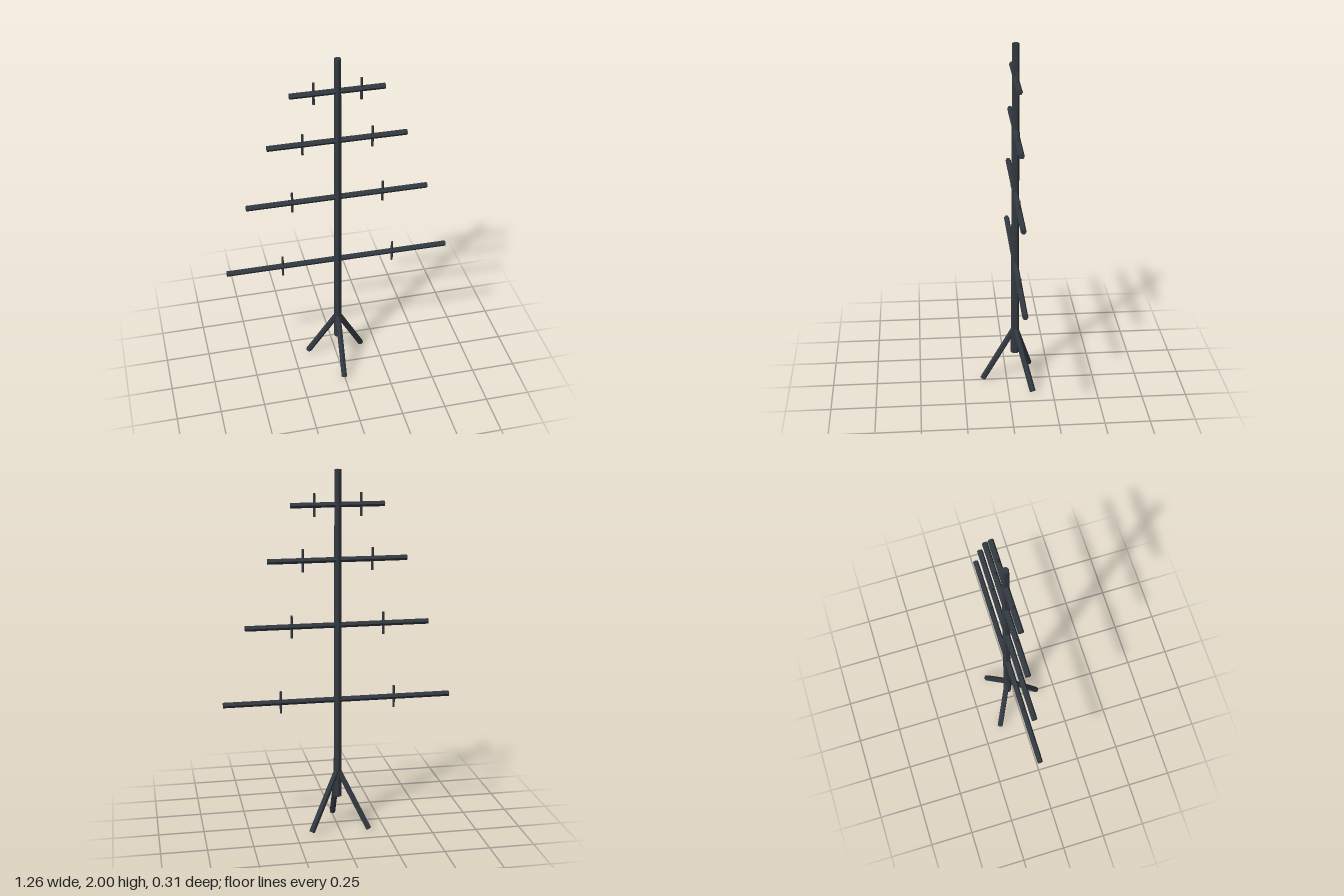
import * as THREE from 'three';

const metal = new THREE.MeshStandardMaterial({ color: 0x343a42, flatShading: true });

// Straight rod between two points
function rod(name, from, to, rFrom, rTo, sides) {
  const a = new THREE.Vector3(...from), b = new THREE.Vector3(...to);
  const dir = b.clone().sub(a);
  const mesh = new THREE.Mesh(new THREE.CylinderGeometry(rTo, rFrom, dir.length(), sides), metal);
  mesh.name = name;
  mesh.position.copy(a).add(b).multiplyScalar(0.5);
  mesh.quaternion.setFromUnitVectors(new THREE.Vector3(0, 1, 0), dir.normalize());
  return mesh;
}

export function createModel() {
  const group = new THREE.Group();
  group.name = 'poleStand';
  const z = -0.047;

  // Slightly tapered central pole
  group.add(rod('pole', [0, 0.18, z], [0, 2, z], 0.024, 0.019, 6));

  // Crossbars, each with two upright pegs halfway along its arms
  const bars = [[0.745, 0.63], [1.165, 0.503], [1.522, 0.378], [1.815, 0.252]];
  for (const [y, half] of bars) {
    group.add(rod('crossbar', [-half, y, z], [half, y, z], 0.0155, 0.0155, 6));
    for (const side of [-1, 1]) {
      const x = side * half / 2;
      group.add(rod('peg', [x, y - 0.062, z], [x, y + 0.062, z], 0.007, 0.007, 6));
    }
  }

  // Tripod legs
  for (let i = 0; i < 3; i++) {
    const a = i * Math.PI * 2 / 3 - 0.02;
    const foot = [0.185 * Math.sin(a), 0.009, z + 0.185 * Math.cos(a)];
    group.add(rod('leg', [0, 0.34, z], foot, 0.017, 0.017, 6));
  }
  return group;
}
